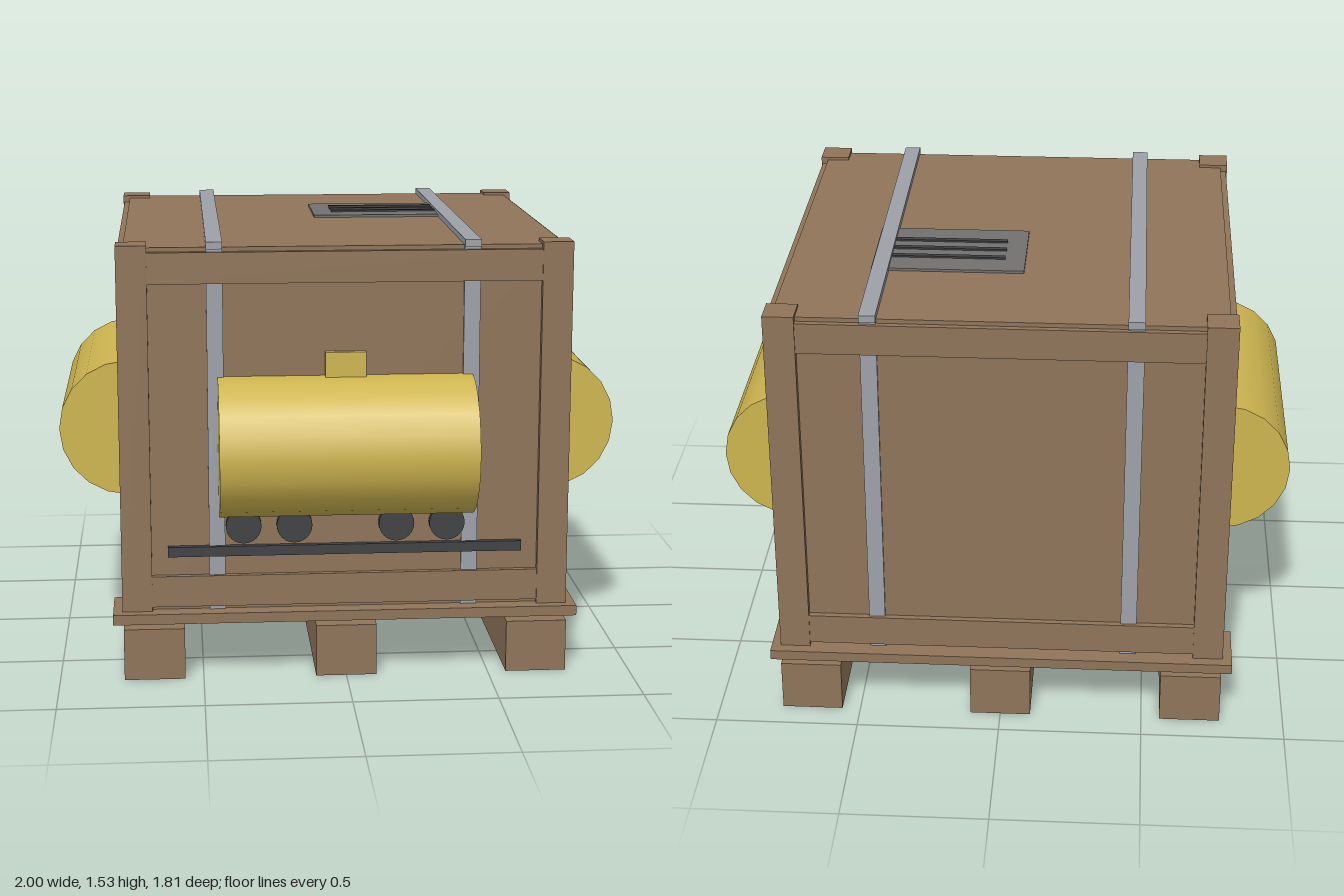
import * as THREE from 'three';

const material = (name, color) => {
  const m = new THREE.MeshStandardMaterial({ color });
  m.name = name;
  return m;
};

export function createModel() {
  const wood = material('wood', 0x8f7459);
  const yellow = material('yellow', 0xceb550);
  const steel = material('steel', 0x9da1a8);
  const grey = material('ventGrey', 0x72716f);
  const dark = material('dark', 0x404143);

  const model = new THREE.Group();
  model.name = 'crate';
  const CZ = -0.09; // depth centre of crate and pallet

  // Box given by its extents on each axis
  function box(parent, name, mat, [x0, x1], [y0, y1], [z0, z1]) {
    const mesh = new THREE.Mesh(new THREE.BoxGeometry(x1 - x0, y1 - y0, z1 - z0), mat);
    mesh.position.set((x0 + x1) / 2, (y0 + y1) / 2, (z0 + z1) / 2);
    mesh.name = name;
    parent.add(mesh);
    return mesh;
  }
  function group(name, x = 0, z = 0, turn = 0) {
    const g = new THREE.Group();
    g.name = name;
    g.position.set(x, 0, z);
    g.rotation.y = turn;
    model.add(g);
    return g;
  }

  // Pallet: three skids and five deck slats
  const pallet = group('pallet', 0, CZ);
  for (const x of [-0.67, 0, 0.67]) {
    box(pallet, 'skid', wood, [x - 0.106, x + 0.106], [0, 0.183], [-0.813, 0.813]);
  }
  for (let i = -2; i <= 2; i++) {
    const z = i * 0.353;
    const half = Math.abs(i) === 2 ? 0.812 : 0.787;
    box(pallet, 'deckSlat', wood, [-half, half], [0.2, Math.abs(i) === 2 ? 0.236 : 0.23],
      [z - 0.107, z + 0.107]);
  }

  // Crate body, corner posts and edge rails
  const body = group('crateBody', 0, CZ);
  box(body, 'panels', wood, [-0.755, 0.755], [0.225, 1.51], [-0.75, 0.75]);
  for (const sx of [-1, 1]) {
    for (const sz of [-1, 1]) {
      const post = box(body, 'cornerPost', wood, [-0.0525, 0.0525], [0.235, 1.52], [-0.0525, 0.0525]);
      post.position.x = sx * 0.7275;
      post.position.z = sz * 0.7225;
    }
  }
  for (const [y0, y1] of [[0.25, 0.36], [1.387, 1.495]]) {
    for (const s of [-1, 1]) {
      const along = box(body, 'endRail', wood, [-0.68, 0.68], [y0, y1], [-0.012, 0.012]);
      along.position.z = s * 0.759;
      const side = box(body, 'sideRail', wood, [-0.012, 0.012], [y0, y1], [-0.675, 0.675]);
      side.position.x = s * 0.764;
    }
  }

  // Steel straps running over the top, down both ends and under the floor
  for (const x of [-0.447, 0.435]) {
    const strap = group('strap', x, CZ);
    const w = [-0.028, 0.028];
    box(strap, 'strapTop', steel, w, [1.505, 1.53], [-0.77, 0.768]);
    box(strap, 'strapBottom', steel, w, [0.217, 0.227], [-0.758, 0.758]);
    box(strap, 'strapFront', steel, w, [0.217, 1.52], [0.745, 0.759]);
    box(strap, 'strapBack', steel, w, [0.217, 1.52], [-0.759, -0.745]);
  }

  // Vent plate on the lid
  const vent = group('vent');
  box(vent, 'ventPlate', grey, [-0.058, 0.468], [1.51, 1.519], [-0.45, -0.097]);
  for (const z of [-0.344, -0.273, -0.202]) {
    box(vent, 'ventSlot', dark, [0.012, 0.405], [1.517, 1.525], [z - 0.01, z + 0.01]);
  }

  // Tank wagon relief on a panel; local z = 0 is the panel face
  function tankWagon(name, x, z, turn) {
    const g = group(name, x, z, turn);
    const tank = new THREE.Mesh(new THREE.CylinderGeometry(0.245, 0.245, 0.88, 20), yellow);
    tank.rotation.set(Math.PI / 2, 0, Math.PI / 2);
    tank.position.y = 0.818;
    tank.name = 'tank';
    g.add(tank);
    box(g, 'tankDome', yellow, [-0.07, 0.07], [1.0, 1.147], [-0.005, 0.022]);
    for (const wx of [-0.355, -0.178, 0.178, 0.355]) {
      const wheel = new THREE.Mesh(new THREE.CylinderGeometry(0.062, 0.062, 0.03, 24), dark);
      wheel.rotation.x = Math.PI / 2;
      wheel.position.set(wx, 0.537, 0.008);
      wheel.name = 'wheel';
      g.add(wheel);
    }
    box(g, 'track', dark, [-0.618, 0.618], [0.43, 0.465], [-0.005, 0.022]);
  }
  tankWagon('frontWagon', 0, 0.66, 0);
  tankWagon('leftWagon', 0.755, CZ, Math.PI / 2);
  tankWagon('rightWagon', -0.755, CZ, -Math.PI / 2);

  return model;
}
